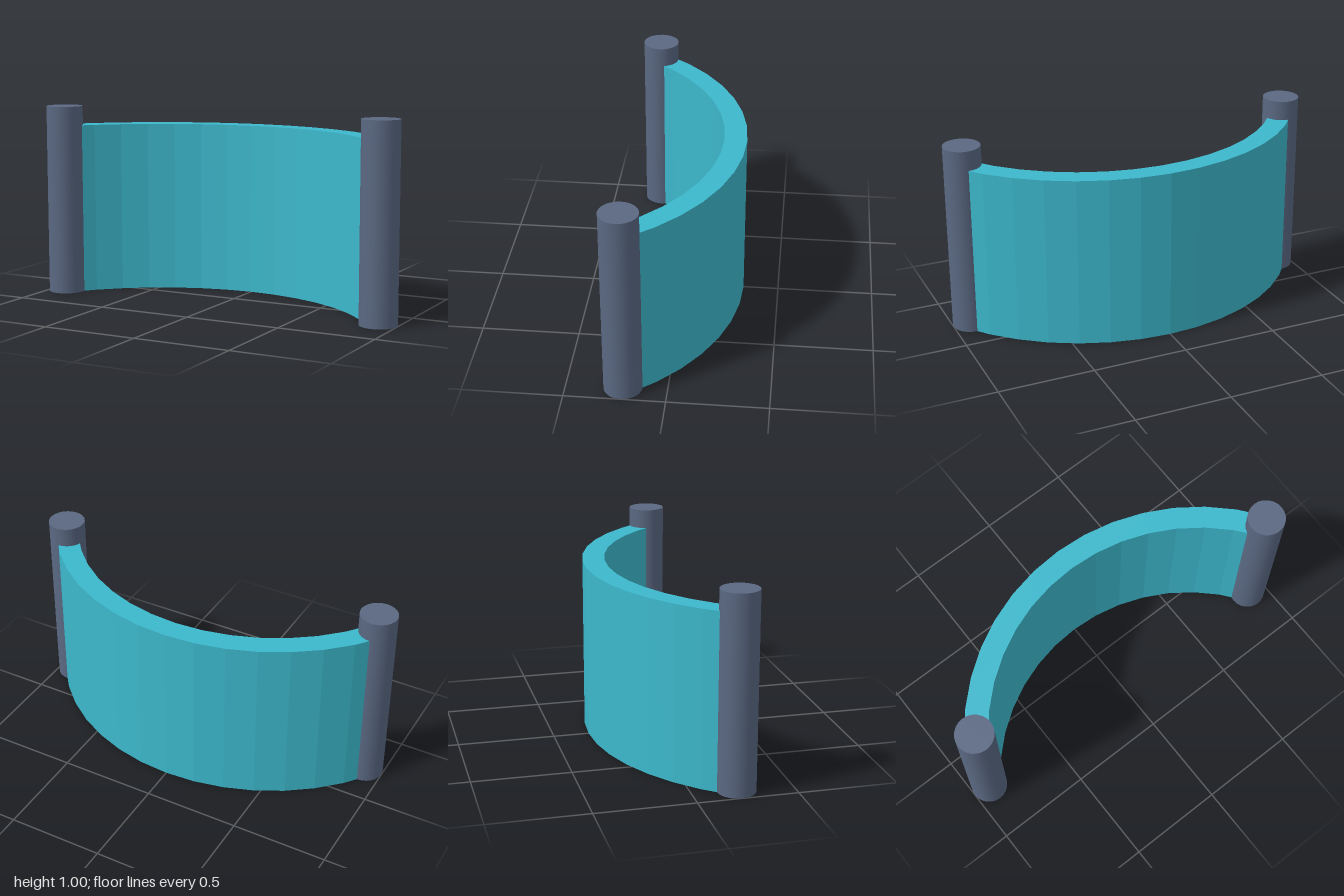
import * as THREE from 'three';

const POST_RADIUS = 0.096, POST_X = 0.904, POST_Z = 0.219;
const ARC_RADIUS = 1.096, ARC_CENTRE_Z = 0.839, HALF_THICKNESS = 0.058;
const HALF_ANGLE = Math.asin(POST_X / ARC_RADIUS);
const SEGMENTS = 14;

// Plan points along an arc bulging to the back, as (x, -z)
function arcPoints(radius) {
  return Array.from({ length: SEGMENTS + 1 }, (_, i) => {
    const a = HALF_ANGLE * (1 - 2 * i / SEGMENTS);
    return new THREE.Vector2(radius * Math.sin(a), radius * Math.cos(a) - ARC_CENTRE_Z);
  });
}

export function createModel() {
  const teal = new THREE.MeshStandardMaterial({ color: 0x3cb8cc, flatShading: true });
  teal.name = 'teal';
  const slate = new THREE.MeshStandardMaterial({ color: 0x5a6882 });
  slate.name = 'slate';

  const model = new THREE.Group();
  model.name = 'curvedScreen';

  // Curved wall: faceted ring segment, raised from the ground
  const outline = new THREE.Shape([
    ...arcPoints(ARC_RADIUS + HALF_THICKNESS),
    ...arcPoints(ARC_RADIUS - HALF_THICKNESS).reverse(),
  ]);
  const wallGeometry = new THREE.ExtrudeGeometry(outline, { depth: 0.897, bevelEnabled: false });
  wallGeometry.rotateX(-Math.PI / 2);
  const wall = new THREE.Mesh(wallGeometry, teal);
  wall.name = 'curvedWall';
  model.add(wall);

  // Round posts capping both ends
  const postGeometry = new THREE.CylinderGeometry(POST_RADIUS, POST_RADIUS, 1, 24);
  for (const side of [1, -1]) {
    const post = new THREE.Mesh(postGeometry, slate);
    post.name = side > 0 ? 'leftPost' : 'rightPost';
    post.position.set(side * POST_X, 0.5, POST_Z);
    model.add(post);
  }
  return model;
}
